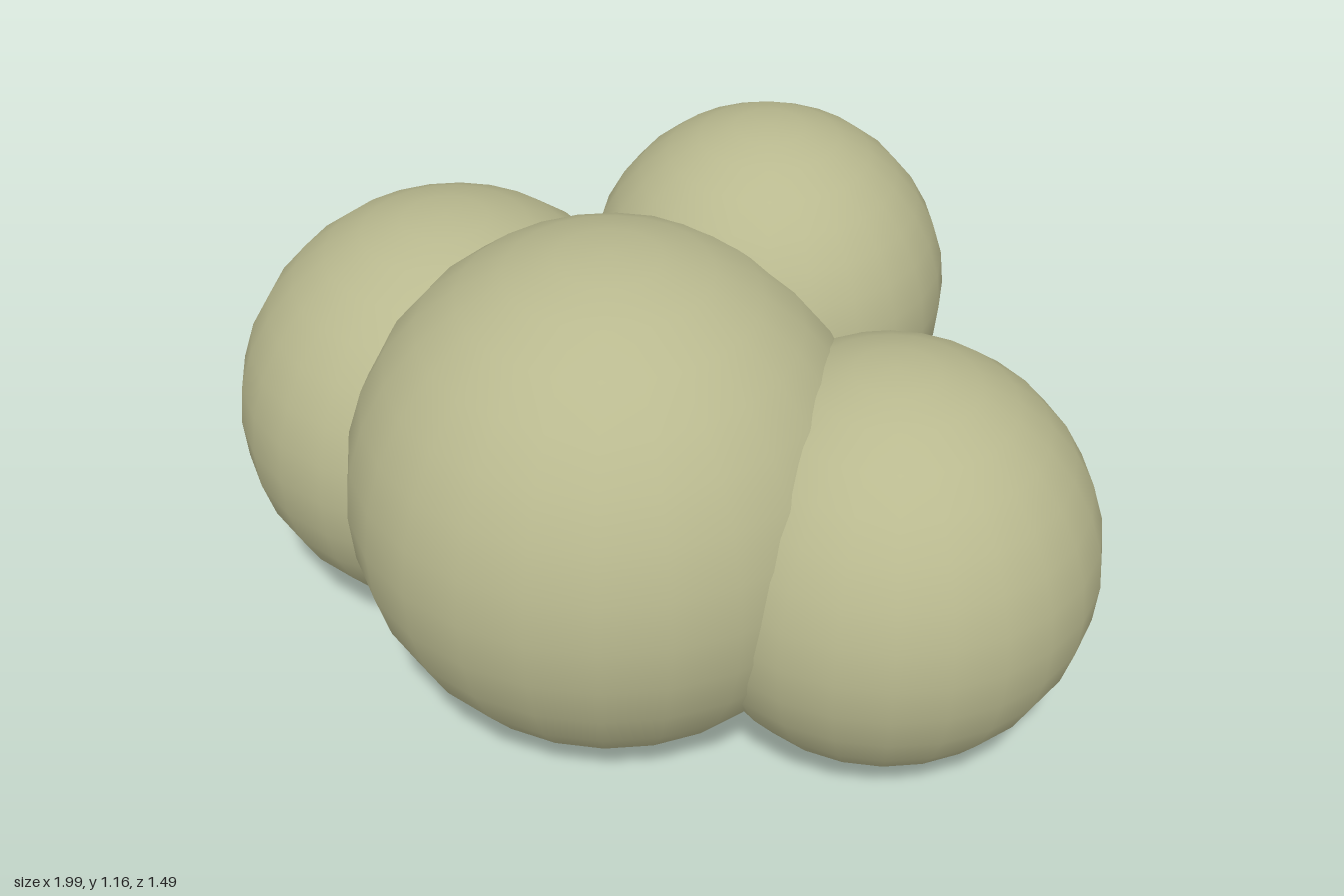
import * as THREE from 'three';

// Each lobe: name, centre, radii along x, y, z
const LOBES = [
  ['mainBall', [0, 0.565, 0.19], [0.555, 0.56, 0.555]],
  ['leftBall', [0.545, 0.48, -0.01], [0.447, 0.452, 0.449]],
  ['rightBall', [-0.53, 0.49, 0.02], [0.47, 0.465, 0.485]],
  ['backBall', [0.045, 0.782, -0.362], [0.386, 0.384, 0.384]],
];

export function createModel() {
  const group = new THREE.Group();
  group.name = 'ballCluster';
  const material = new THREE.MeshStandardMaterial({ color: 0xb9b98f });
  const ball = new THREE.SphereGeometry(1, 24, 16);

  // Overlapping smooth balls sharing one unit sphere
  for (const [name, centre, radii] of LOBES) {
    const mesh = new THREE.Mesh(ball, material);
    mesh.name = name;
    mesh.position.set(...centre);
    mesh.scale.set(...radii);
    group.add(mesh);
  }
  return group;
}
